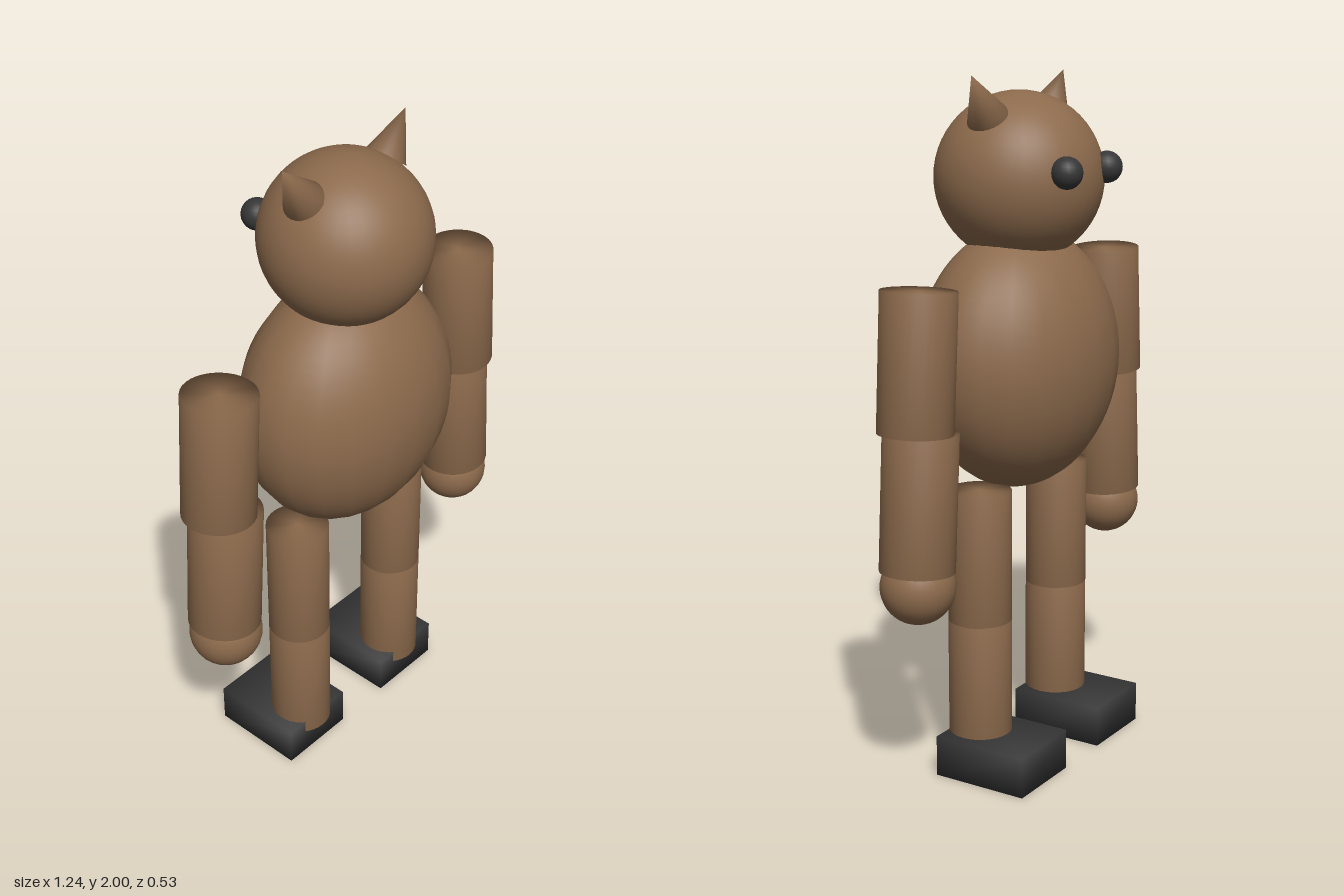
import * as THREE from 'three';
import { mergeVertices } from 'three/addons/utils/BufferGeometryUtils.js';

const fur = new THREE.MeshStandardMaterial({ name: 'brown fur', color: 0x8c6a4c });
const dark = new THREE.MeshStandardMaterial({ name: 'charcoal', color: 0x363636 });

// Weld corners so the normals blend across the edges
function soften(geometry) {
  geometry.deleteAttribute('normal');
  geometry.deleteAttribute('uv');
  const welded = mergeVertices(geometry, 1e-4);
  welded.computeVertexNormals();
  return welded;
}

export function createModel() {
  const model = new THREE.Group();
  model.name = 'bearFigure';

  function add(name, geometry, material, x, y, z = 0, tilt = 0) {
    const mesh = new THREE.Mesh(geometry, material);
    mesh.name = name;
    mesh.position.set(x, y, z);
    mesh.rotation.z = tilt;
    model.add(mesh);
    return mesh;
  }

  // Torso and head
  add('torso', new THREE.SphereGeometry(1, 20, 32), fur, 0, 1.196).scale.set(0.354, 0.381, 0.265);
  add('head', new THREE.SphereGeometry(0.242, 40, 28), fur, 0, 1.712);

  const ear = soften(new THREE.ConeGeometry(0.06, 0.14, 24));
  const eye = new THREE.SphereGeometry(0.045, 20, 14);
  const armPart = soften(new THREE.CylinderGeometry(0.105, 0.105, 0.383, 32));
  const hand = new THREE.SphereGeometry(0.105, 28, 20);
  const thigh = soften(new THREE.CylinderGeometry(0.092, 0.092, 0.385, 32));
  const shin = soften(new THREE.CylinderGeometry(0.092, 0.092, 0.38, 32));
  const shoe = soften(new THREE.BoxGeometry(0.242, 0.12, 0.293));

  // Paired parts; the face and toes point to -z
  for (const [side, s] of [['left', 1], ['right', -1]]) {
    add(side + 'Ear', ear, fur, s * 0.199, 1.943, 0, -s * 0.6);
    add(side + 'Eye', eye, dark, s * 0.109, 1.742, -0.222);
    add(side + 'UpperArm', armPart, fur, s * 0.504, 1.264, 0, s * 0.065);
    add(side + 'Forearm', armPart, fur, s * 0.504, 0.88, 0, s * 0.065);
    add(side + 'Hand', hand, fur, s * 0.514, 0.644);
    add(side + 'Thigh', thigh, fur, s * 0.21, 0.652);
    add(side + 'Shin', shin, fur, s * 0.21, 0.27);
    add(side + 'Shoe', shoe, dark, s * 0.213, 0.06, -0.075);
  }
  return model;
}
